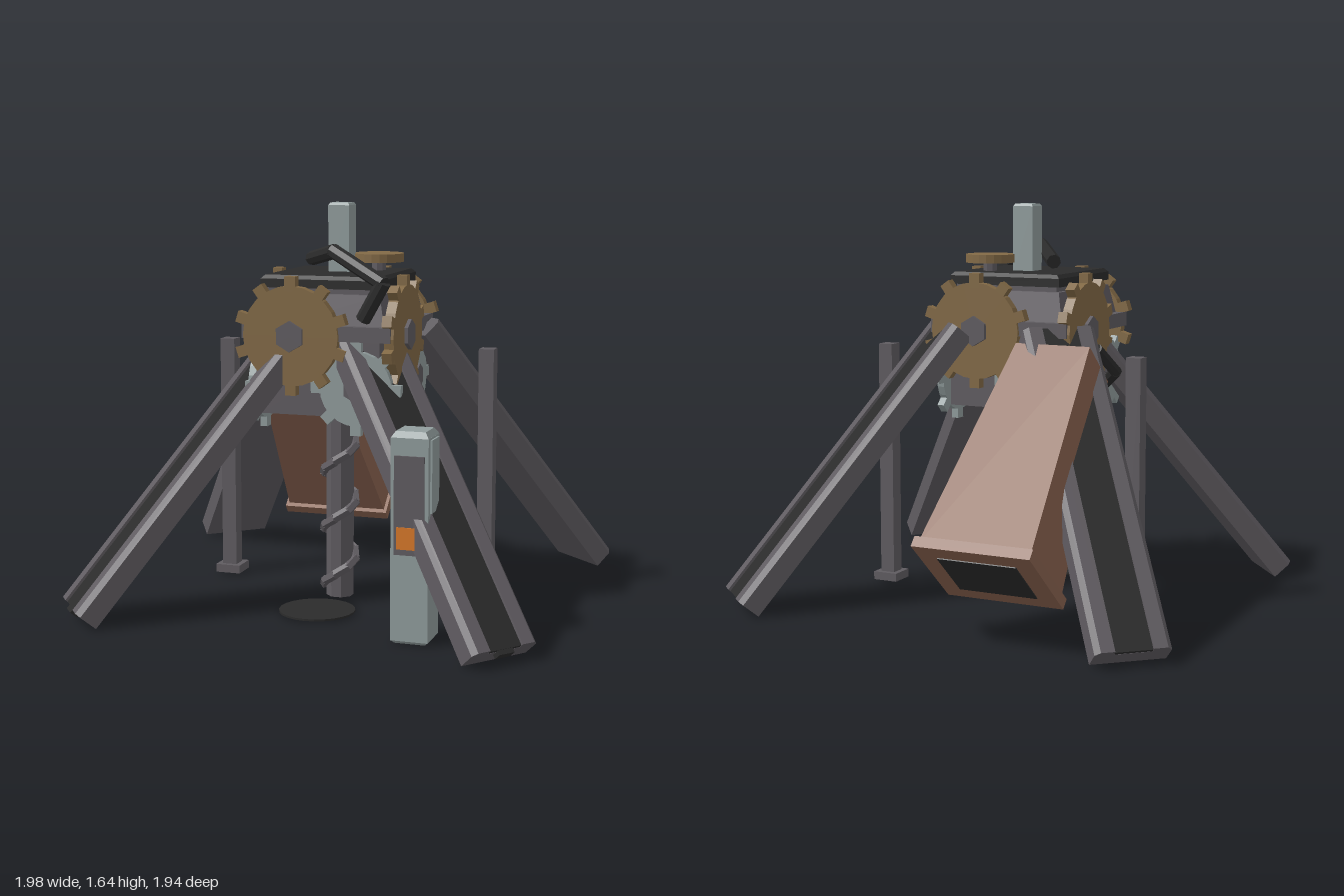
import * as THREE from 'three';

const paint = (name, color) => {
  const m = new THREE.MeshStandardMaterial({ color });
  m.name = name;
  return m;
};
const steel = paint('steel grey', 0x605c61);
const black = paint('charcoal', 0x2b2b2b);
const brass = paint('dull brass', 0x836a46);
const silver = paint('pale steel', 0x919d9d);
const rust = paint('rust brown', 0x8a6350);
const orange = paint('orange', 0xd87829);

const CZ = 0.13; // centre of the machine body along z

export function createModel() {
  const model = new THREE.Group();
  model.name = 'drillingRig';

  // Adds a facetted mesh
  function add(parent, name, geometry, material, x = 0, y = 0, z = 0) {
    const flat = geometry.index ? geometry.toNonIndexed() : geometry;
    flat.computeVertexNormals();
    const mesh = new THREE.Mesh(flat, material);
    mesh.name = name;
    mesh.position.set(x, y, z);
    parent.add(mesh);
    return mesh;
  }
  const box = (w, h, d) => new THREE.BoxGeometry(w, h, d);
  // Square frustum: half sizes at top and bottom
  const frustum = (top, bottom, h) =>
    new THREE.CylinderGeometry(top * Math.SQRT2, bottom * Math.SQRT2, h, 4).rotateY(Math.PI / 4);
  // Angular pipe through a few points
  function pipe(parent, name, points, r, material, segments = 6) {
    const path = new THREE.CurvePath();
    const v = points.map((p) => new THREE.Vector3(...p));
    for (let i = 1; i < v.length; i++) path.add(new THREE.LineCurve3(v[i - 1], v[i]));
    for (let i = 1; i < v.length; i++) {
      const len = v[i].distanceTo(v[i - 1]);
      const rod = add(parent, name, new THREE.CylinderGeometry(r, r, len + r * 0.5, segments), material);
      rod.position.copy(v[i]).add(v[i - 1]).multiplyScalar(0.5);
      rod.quaternion.setFromUnitVectors(new THREE.Vector3(0, 1, 0), v[i].clone().sub(v[i - 1]).normalize());
    }
  }

  // Body, frame and lid
  const body = new THREE.Group();
  body.name = 'body';
  body.position.z = CZ;
  model.add(body);
  add(body, 'lowerHousing', box(0.5, 0.32, 0.5), steel, 0, 0.96, 0);
  add(body, 'upperHousing', frustum(0.25, 0.285, 0.17), steel, 0, 1.205, 0);
  add(body, 'lidNeck', box(0.46, 0.03, 0.46), steel, 0, 1.3, 0);
  add(body, 'lid', box(0.5, 0.035, 0.5), black, 0, 1.328, 0);
  add(body, 'lidTop', frustum(0.235, 0.25, 0.015), black, 0, 1.353, 0);
  add(body, 'chimney', box(0.09, 0.28, 0.09), silver, 0, 1.49, -0.03);
  add(body, 'chimneyCap', frustum(0.038, 0.045, 0.01), silver, 0, 1.635, -0.03);
  add(body, 'capStem', new THREE.CylinderGeometry(0.03, 0.03, 0.05, 8), steel, 0.13, 1.375, -0.12);
  add(body, 'fillerCap', new THREE.CylinderGeometry(0.103, 0.103, 0.035, 20), brass, 0.13, 1.413, -0.12);

  // Toothed wheel facing +z
  function gear(parent, name, x, y, z, r, depth, teeth, material, hubR) {
    const wheel = new THREE.Group();
    wheel.name = name;
    wheel.position.set(x, y, z);
    parent.add(wheel);
    add(wheel, 'disc', new THREE.CylinderGeometry(r, r, depth, 24).rotateX(Math.PI / 2), material);
    for (let i = 0; i < teeth; i++) {
      const a = (i / teeth) * Math.PI * 2;
      const t = add(wheel, 'tooth', box(0.045, 0.06, depth), material, Math.sin(a) * (r + 0.007), Math.cos(a) * (r + 0.007), 0);
      t.rotation.z = -a;
    }
    add(wheel, 'hub', new THREE.CylinderGeometry(hubR, hubR, depth + 0.03, 6).rotateX(Math.PI / 2), steel);
  }

  // The same frame bar and gear pair on each of the four sides
  for (let i = 0; i < 4; i++) {
    const side = new THREE.Group();
    side.name = 'gearSide';
    side.rotation.y = (i * Math.PI) / 2;
    body.add(side);
    add(side, 'frameBar', box(0.62, 0.06, 0.04), steel, 0, 1.14, 0.29);
    gear(side, 'largeGear', -0.1, 1.125, 0.302, 0.2, 0.04, 10, brass, 0.062);
    gear(side, 'smallGear', 0.16, 0.92, 0.268, 0.15, 0.03, 8, silver, 0.052);
  }

  // Four splayed channel legs with a dark inlay
  const rail = new THREE.Shape();
  [[-0.15, -0.1], [0.15, -0.1], [0.15, -0.02], [0.13, 0], [0.075, 0], [0.075, -0.025],
    [-0.075, -0.025], [-0.075, 0], [-0.13, 0], [-0.15, -0.02]].forEach(([x, y], i) =>
    i ? rail.lineTo(x, y) : rail.moveTo(x, y));
  function leg(name, sx, hx, hz, endZ) {
    const c = 0.642, s = 0.767, length = 1.42;
    const down = new THREE.Vector3(sx * hx * c, -s, hz * c).normalize();
    const out = new THREE.Vector3(sx * hx * s, c, hz * s).normalize();
    const across = new THREE.Vector3().crossVectors(out, down);
    const g = new THREE.Group();
    g.name = name;
    g.quaternion.setFromRotationMatrix(new THREE.Matrix4().makeBasis(across, out, down));
    g.position.set(sx * 0.89, 0.068, endZ).addScaledVector(down, -length);
    model.add(g);
    add(g, 'channel', new THREE.ExtrudeGeometry(rail, { depth: length, bevelEnabled: false }), steel);
    add(g, 'inlay', box(0.15, 0.015, length - 0.002), black, 0, -0.018, length / 2);
    if (hz > 0) add(g, 'footStud', box(0.07, 0.035, 0.02), black, 0, -0.03, length + 0.008);
  }
  for (const sx of [1, -1]) {
    leg('frontLeg', sx, 0.785, 0.62, 0.86);
    leg('backLeg', sx, 0.68, -0.733, -0.82);
    // Stabiliser posts
    add(model, 'sidePost', box(0.064, 1.035, 0.064), steel, sx * 0.575, 0.5225, -0.08);
    add(model, 'postBase', box(0.11, 0.035, 0.11), steel, sx * 0.575, 0.0225, -0.08);
  }

  // Drill shaft with a spiral flight
  add(model, 'drillShaft', new THREE.CylinderGeometry(0.057, 0.057, 0.82, 8).rotateY(Math.PI / 8), steel, 0, 0.41, CZ);
  const spiral = [];
  for (let i = 0; i <= 24; i++) {
    const a = (i / 8) * Math.PI * 2 - Math.PI / 2;
    spiral.push([Math.sin(a) * 0.068, 0.04 + i * 0.03, CZ + Math.cos(a) * 0.068]);
  }
  pipe(model, 'drillFlight', spiral, 0.02, steel, 5);
  add(model, 'boreHole', new THREE.CylinderGeometry(0.155, 0.155, 0.008, 24), black, 0, 0.01, 0.42);

  // Pipes
  pipe(model, 'lidPipe', [[-0.15, 1.405, 0.04], [0.04, 1.455, 0.32], [0.285, 1.345, 0.455], [0.2, 1.205, 0.43]], 0.03, black, 8);
  pipe(model, 'sideHose', [[-0.28, 1.07, -0.04], [-0.37, 1.05, 0], [-0.4, 0.95, 0.12], [-0.29, 0.88, 0.26]], 0.025, black, 8);

  // Tapered discharge chute with a flanged mouth
  const chute = new THREE.Group();
  chute.name = 'chute';
  chute.position.set(-0.29, 0.27, -0.825);
  chute.rotation.x = 0.72;
  model.add(chute);
  const duct = new THREE.CylinderGeometry(0.163 * Math.SQRT2, 0.235 * Math.SQRT2, 0.97, 4).rotateY(Math.PI / 4).scale(1, 1, 0.74);
  add(chute, 'duct', duct, rust, 0, 0.505, 0);
  add(chute, 'flange', box(0.495, 0.045, 0.385), rust, 0, 0.022, 0);
  add(chute, 'mouth', box(0.33, 0.006, 0.24), black, 0, -0.002, 0);

  // Control column
  const column = new THREE.Group();
  column.name = 'controlColumn';
  column.position.set(0.479, 0, 0.66);
  model.add(column);
  add(column, 'pillar', box(0.148, 0.785, 0.148), silver, 0, 0.405, 0);
  add(column, 'pillarTop', frustum(0.058, 0.074, 0.024), silver, 0, 0.809, 0);
  add(column, 'pillarBase', frustum(0.074, 0.06, 0.014), silver, 0, 0.007, 0);
  add(column, 'sidePlate', box(0.009, 0.28, 0.1), silver, 0.077, 0.65, 0);
  add(column, 'panel', box(0.118, 0.38, 0.009), steel, 0, 0.54, 0.077);
  add(column, 'indicator', box(0.075, 0.085, 0.006), orange, -0.01, 0.415, 0.083);

  return model;
}
